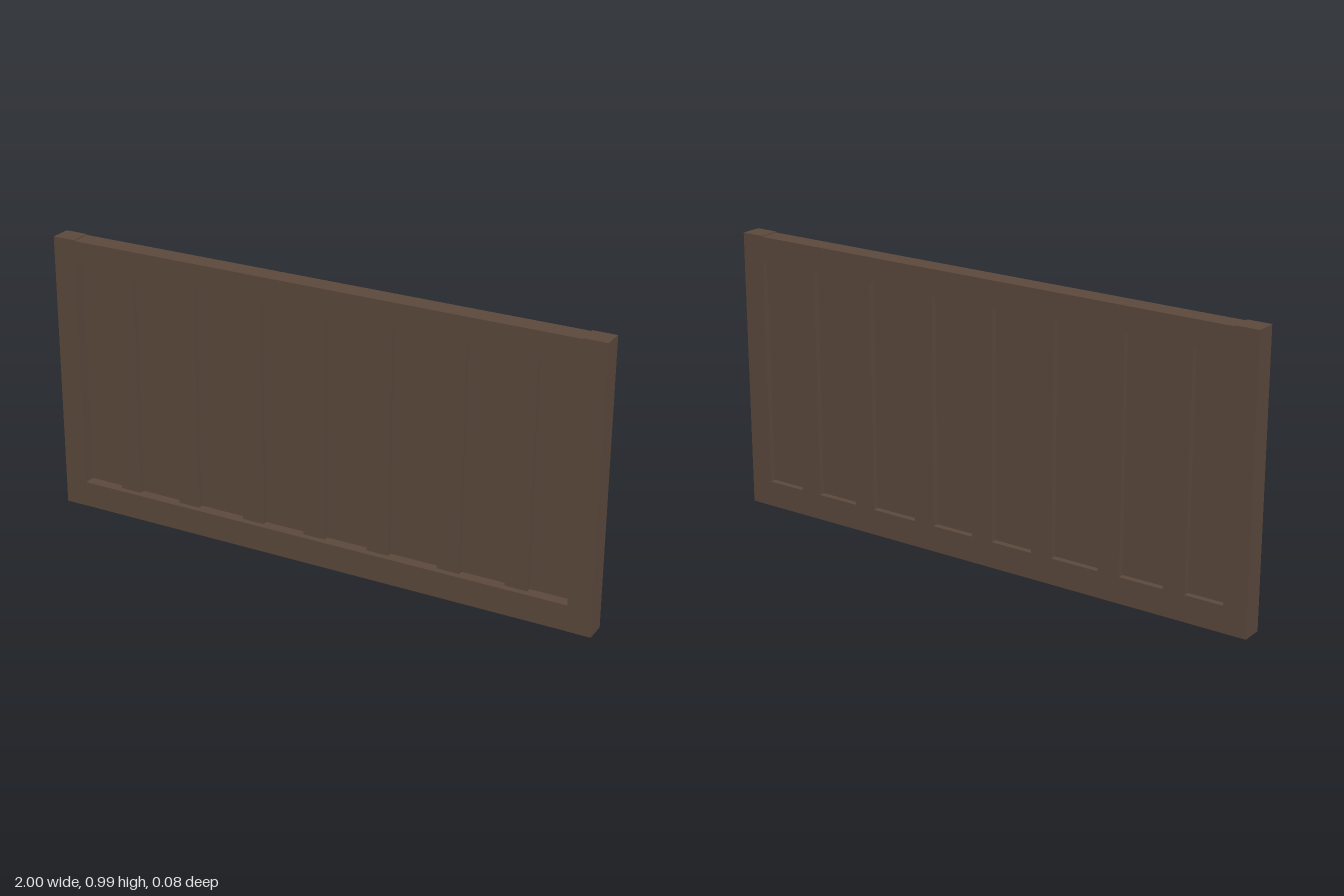
import * as THREE from 'three';

const WIDTH = 2, HEIGHT = 0.99, BACK = -0.0375, FRONT = 0.0375;
const STILE = 0.083, RAIL = 0.092;

export function createModel() {
  const model = new THREE.Group();
  model.name = 'pannelledFrame';
  const wood = new THREE.MeshStandardMaterial({ color: 0x5c493d });
  wood.name = 'darkBrownWood';

  // Box given by its lower and upper limits on each axis
  function board(name, [x0, x1], [y0, y1], [z0, z1]) {
    const mesh = new THREE.Mesh(new THREE.BoxGeometry(x1 - x0, y1 - y0, z1 - z0), wood);
    mesh.position.set((x0 + x1) / 2, (y0 + y1) / 2, (z0 + z1) / 2);
    mesh.name = name;
    model.add(mesh);
  }

  const inner = WIDTH / 2 - STILE;
  const opening = [RAIL, HEIGHT - RAIL];

  // Outer frame: full-height stiles with rails set a hair lower between them
  board('leftStile', [inner, WIDTH / 2], [0, HEIGHT], [BACK, FRONT]);
  board('rightStile', [-WIDTH / 2, -inner], [0, HEIGHT], [BACK, FRONT]);
  board('bottomRail', [-inner, inner], [0, RAIL], [BACK, FRONT - 0.001]);
  board('topRail', [-inner, inner], [HEIGHT - RAIL, HEIGHT - 0.003], [BACK, FRONT - 0.001]);

  // Upright slats, flush at the back and recessed at the front
  const centres = [-0.74, -0.5, -0.243, -0.006, 0.233, 0.49, 0.73];
  for (const x of centres) board('slat', [x - 0.04, x + 0.04], opening, [BACK, 0.014]);

  // Thin panels filling the bays between the slats
  const edges = [-inner, ...centres.flatMap((x) => [x - 0.04, x + 0.04]), inner];
  for (let i = 0; i < edges.length; i += 2) {
    board('panel', [edges[i], edges[i + 1]], opening, [-0.016, -0.004]);
  }
  return model;
}
